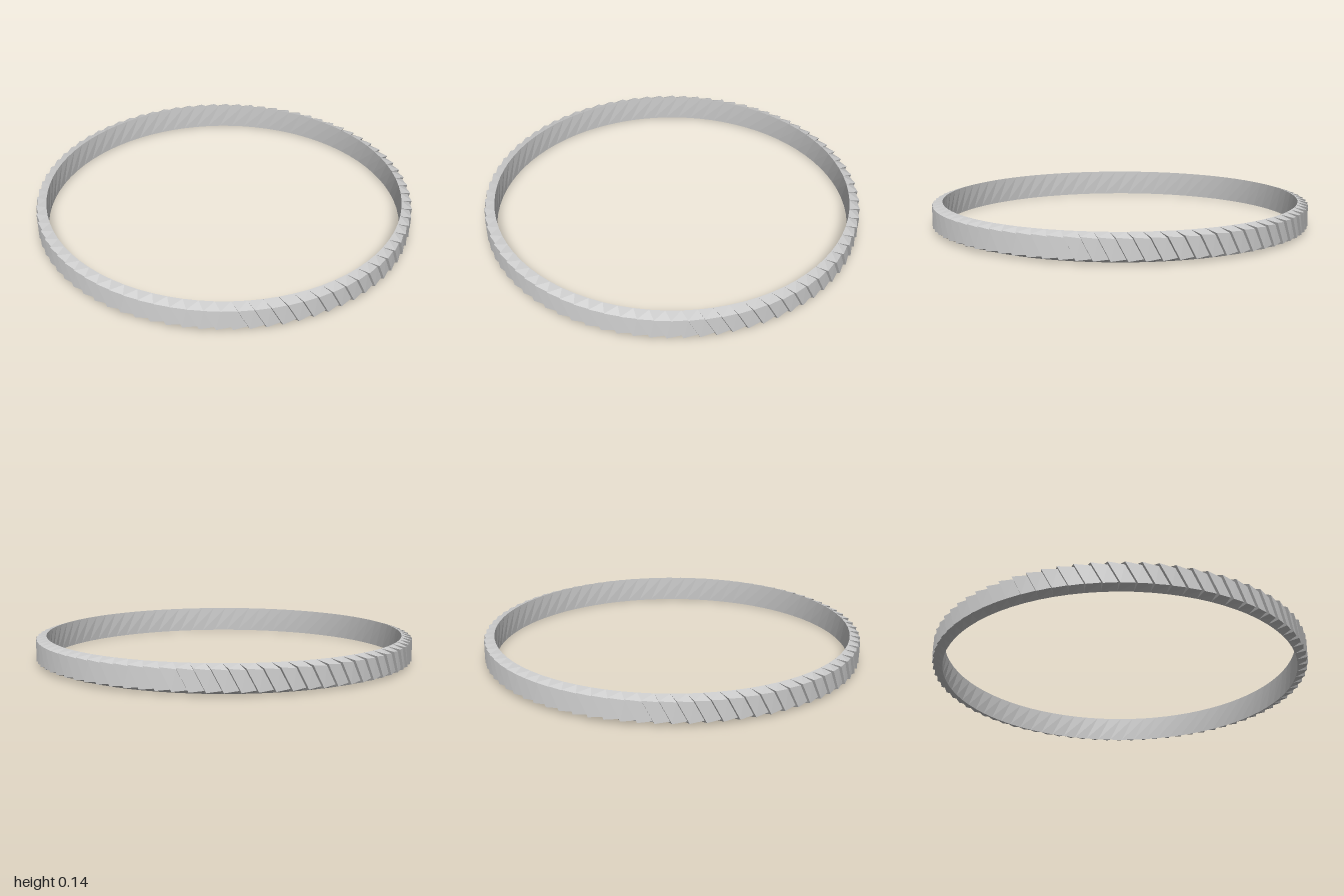
import * as THREE from 'three';

const LINKS = 80;
const PITCH = (Math.PI * 2) / LINKS;
const HEIGHT = 0.14;

// One slanted, bevelled link: a box whose corners are moved onto the ring.
function linkGeometry() {
  const geometry = new THREE.BoxGeometry(2, 2, 2);
  const p = geometry.attributes.position;
  for (let i = 0; i < p.count; i++) {
    const side = p.getX(i), up = p.getY(i), outer = p.getZ(i) > 0;
    const raised = side < 0; // the leading edge stands proud of its neighbour
    const radius = outer ? (raised ? 1 : 0.988) : 0.945;
    const inset = outer ? (raised ? 0.015 : 0.024) : 0;
    // lean along the band, plus a skew from the outer to the inner face
    const lean = -up * (outer ? 0.029 : 0.036) - (outer ? 0 : 0.022);
    const angle = (side * PITCH) / 2 + lean;
    const y = HEIGHT / 2 + up * (HEIGHT / 2 - inset);
    p.setXYZ(i, radius * Math.sin(angle), y, radius * Math.cos(angle));
  }
  geometry.computeVertexNormals();
  return geometry;
}

export function createModel() {
  const group = new THREE.Group();
  group.name = 'bandRing';
  const material = new THREE.MeshStandardMaterial({ color: 0xcccccc, flatShading: true });
  const geometry = linkGeometry();

  // Repeat the link around the ring
  for (let i = 0; i < LINKS; i++) {
    const link = new THREE.Mesh(geometry, material);
    link.name = `link${i + 1}`;
    link.rotation.y = i * PITCH;
    group.add(link);
  }
  return group;
}
